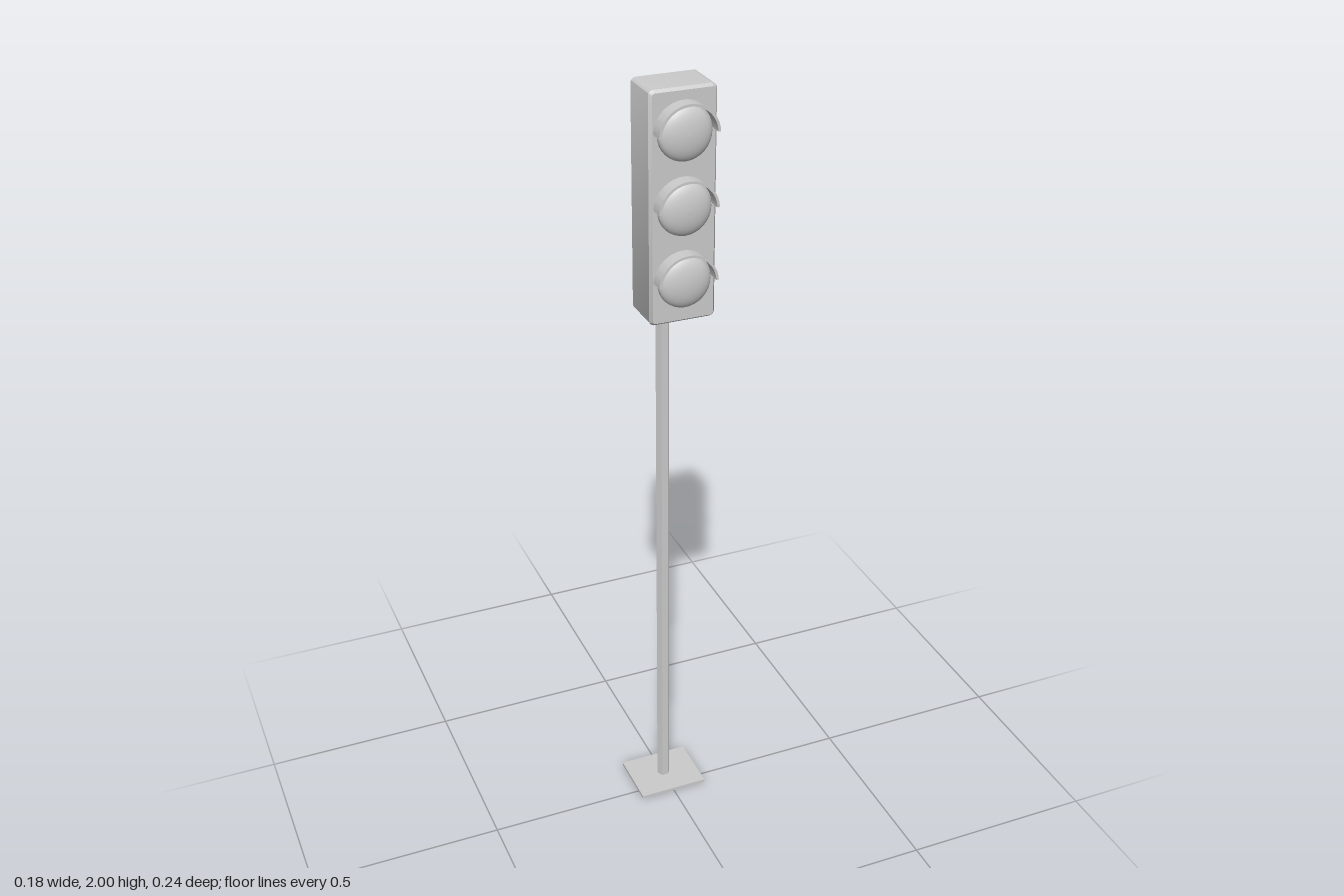
import * as THREE from 'three';
import { toCreasedNormals } from 'three/addons/utils/BufferGeometryUtils.js';

const POLE_Z = -0.043;

export function createModel() {
  const group = new THREE.Group();
  const material = new THREE.MeshStandardMaterial({ color: 0xcccccc });
  const flat = new THREE.MeshStandardMaterial({ color: 0xcccccc, flatShading: true });

  const add = (name, geometry, x, y, z, mat = material) => {
    const mesh = new THREE.Mesh(geometry, mat);
    mesh.name = name;
    mesh.position.set(x, y, z);
    group.add(mesh);
    return mesh;
  };

  // Ground plate and six-sided pole, with flats facing front and back
  add('basePlate', new THREE.BoxGeometry(0.184, 0.008, 0.154), 0, 0.004, POLE_Z);
  const pole = new THREE.CylinderGeometry(0.0178, 0.0178, 1.964, 6);
  pole.rotateY(Math.PI / 6);
  add('pole', pole, 0, 0.988, POLE_Z, flat);

  // Signal housing: rounded corners, chamfered front rim, flat back
  add('housing', housingGeometry(), 0, 1.7235, -0.027);

  // Pole clamps: side flanges with a half-hexagon strap, plus bolts
  const strap = new THREE.Shape();
  [[-0.037, 0.025], [-0.037, 0.041], [-0.022, 0.041], [-0.012, 0.063],
    [0.012, 0.063], [0.022, 0.041], [0.037, 0.041], [0.037, 0.025]]
    .forEach(([x, y], i) => (i ? strap.lineTo(x, y) : strap.moveTo(x, y)));
  strap.closePath();
  const clamp = new THREE.ExtrudeGeometry(strap, { depth: 0.014, bevelEnabled: false });
  clamp.rotateX(-Math.PI / 2); // shape y becomes -z
  const bolt = new THREE.CylinderGeometry(0.004, 0.004, 0.004, 8);
  bolt.rotateX(Math.PI / 2);
  for (const y of [1.566, 1.852]) {
    add('poleClamp', clamp, 0, y - 0.007, 0, flat);
    for (const side of [-1, 1]) add('clampBolt', bolt, side * 0.03, y, -0.042);
  }

  // Three lamps, each a domed lens under a half-round visor
  const lens = lensGeometry();
  const visor = visorGeometry();
  for (const y of [1.551, 1.726, 1.9]) {
    add('lens', lens, 0, y, 0.083);
    add('visor', visor, 0, y, 0.082);
  }
  return group;
}

function housingGeometry() {
  const w = 0.075, h = 0.2705, r = 0.007, bevel = 0.006;
  const s = new THREE.Shape();
  s.absarc(w - r, h - r, r, 0, Math.PI / 2);
  s.absarc(r - w, h - r, r, Math.PI / 2, Math.PI);
  s.absarc(r - w, r - h, r, Math.PI, Math.PI * 1.5);
  s.absarc(w - r, r - h, r, Math.PI * 1.5, Math.PI * 2);
  const g = new THREE.ExtrudeGeometry(s, {
    depth: 0.102, bevelThickness: 0.008, bevelSize: bevel, bevelSegments: 1, curveSegments: 4,
  });
  // Flatten the rear chamfer into the back plane
  const p = g.attributes.position;
  for (let i = 0; i < p.count; i++) p.setZ(i, Math.max(0, p.getZ(i)));
  return toCreasedNormals(g, 0.5);
}

function lensGeometry() {
  const R = 0.064, rim = 0.006, dome = 0.024;
  const profile = [new THREE.Vector2(R, -0.002)];
  for (let i = 0; i <= 8; i++) {
    const a = (i / 8) * Math.PI / 2;
    profile.push(new THREE.Vector2(i === 8 ? 0 : R * Math.cos(a), rim + dome * Math.sin(a)));
  }
  const g = new THREE.LatheGeometry(profile, 32);
  g.rotateX(Math.PI / 2);
  return g;
}

function visorGeometry() {
  const outer = 0.073, inner = 0.067, end = 0.05;
  const s = new THREE.Shape();
  s.absarc(0, 0, outer, end, Math.PI - end, false);
  s.absarc(0, 0, inner, Math.PI - end, end, true);
  s.closePath();
  const g = new THREE.ExtrudeGeometry(s, { depth: 0.036, bevelEnabled: false, curveSegments: 20 });
  return toCreasedNormals(g, 0.6);
}
